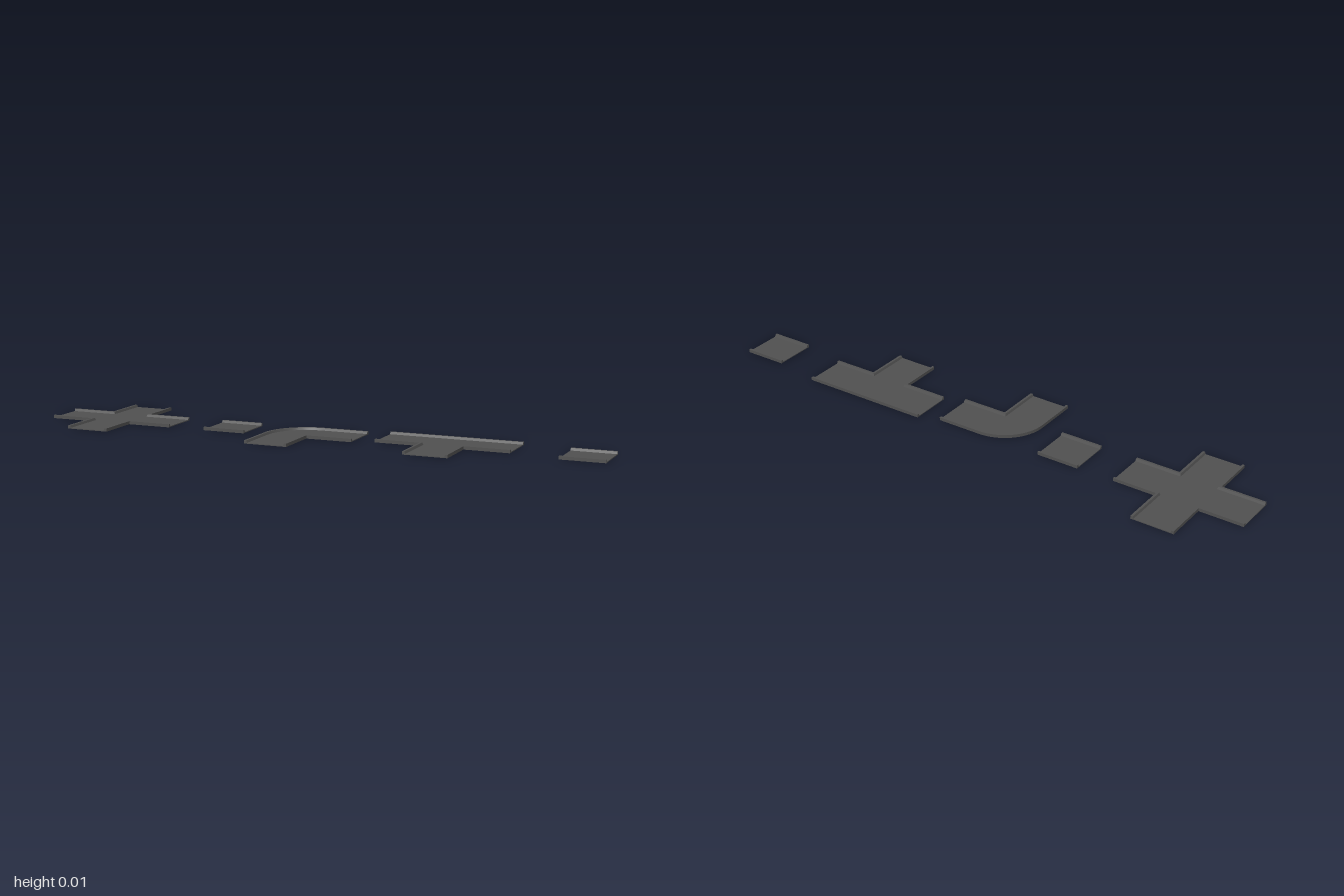
import * as THREE from 'three';
import { toCreasedNormals } from 'three/addons/utils/BufferGeometryUtils.js';

const HEIGHT = 0.011, FLOOR = 0.003, RIM_BASE = 0.011, RIM_TOP = 0.008;
const HALF = 0.076; // half the width of a channel

// Raised rim swept along a path of [x, z] points, with the channel on its inner side
function rimGeometry(path) {
  const normals = path.slice(1).map(([x, z], i) =>
    new THREE.Vector2(path[i][1] - z, x - path[i][0]).normalize());
  const rings = path.map(([x, z], i) => {
    const a = normals[Math.max(i - 1, 0)], b = normals[Math.min(i, normals.length - 1)];
    const m = a.clone().add(b).divideScalar(1 + a.dot(b)); // mitred corner
    const at = (w, y) => [x + m.x * w, y, z + m.y * w];
    return [at(0, FLOOR), at(0, HEIGHT), at(RIM_TOP, HEIGHT), at(RIM_BASE, FLOOR)];
  });
  const pos = [];
  const quad = (a, b, c, d) => pos.push(...a, ...b, ...c, ...a, ...c, ...d);
  for (let i = 0; i < rings.length - 1; i++) {
    const A = rings[i], B = rings[i + 1];
    for (let k = 0; k < 3; k++) quad(A[k], A[k + 1], B[k + 1], B[k]);
  }
  const s = rings[0], e = rings[rings.length - 1];
  quad(s[3], s[2], s[1], s[0]);
  quad(e[0], e[1], e[2], e[3]);
  const geo = new THREE.BufferGeometry();
  geo.setAttribute('position', new THREE.Float32BufferAttribute(pos, 3));
  return toCreasedNormals(geo, 0.5);
}

// Flat floor bounded by the rim paths; the gaps between paths are the open ends
function floorGeometry(paths) {
  const shape = new THREE.Shape(paths.flat().map(([x, z]) => new THREE.Vector2(x, z)));
  const geo = new THREE.ExtrudeGeometry(shape, { depth: FLOOR, bevelEnabled: false });
  geo.rotateX(Math.PI / 2).translate(0, FLOOR, 0);
  return toCreasedNormals(geo, 0.5);
}

export function createModel() {
  const grey = new THREE.MeshStandardMaterial({ color: 0x505050 });
  grey.name = 'dark grey';
  const model = new THREE.Group();
  model.name = 'channelPieces';

  function addPiece(name, x, z, paths) {
    const piece = new THREE.Group();
    piece.name = name;
    piece.position.set(x, 0, z);
    const add = (part, geo) => {
      const mesh = new THREE.Mesh(geo, grey);
      mesh.name = part;
      piece.add(mesh);
    };
    add('floor', floorGeometry(paths));
    paths.forEach((p) => add('rim', rimGeometry(p)));
    model.add(piece);
  }

  const h = HALF, L = 0.232; // L: centre to the end of an arm

  // Four-way crossing
  addPiece('crossing', -0.768, -0.006, [
    [[-L, -h], [-h, -h], [-h, -L]],
    [[h, -L], [h, -h], [L, -h]],
    [[L, h], [h, h], [h, L]],
    [[-h, L], [-h, h], [-L, h]],
  ]);

  // Straight pieces
  const straight = [
    [[-h, -h], [h, -h]],
    [[h, h], [-h, h]],
  ];
  addPiece('shortStraight', -0.327, -0.008, straight);
  addPiece('endStraight', 0.923, -0.004, straight);

  // Right-angle bend, rounded outside and sharp inside
  const outer = [[-h, L + 0.005]];
  for (let i = 0; i <= 16; i++) {
    const a = Math.PI + (i / 16) * Math.PI / 2;
    outer.push([h + 2 * h * Math.cos(a), h + 2 * h * Math.sin(a)]);
  }
  outer.push([L + 0.005, -h]);
  addPiece('bend', -0.094, -0.008, [
    outer,
    [[L + 0.005, h], [h, h], [h, L + 0.013]].map(([x, z]) => [x, Math.min(z, L + 0.005)]),
  ]);

  // Three-way junction
  addPiece('junction', 0.447, -0.037, [
    [[-L, -h], [L, -h]],
    [[L, h], [h, h], [h, L]],
    [[-h, L], [-h, h], [-L, h]],
  ]);

  return model;
}
